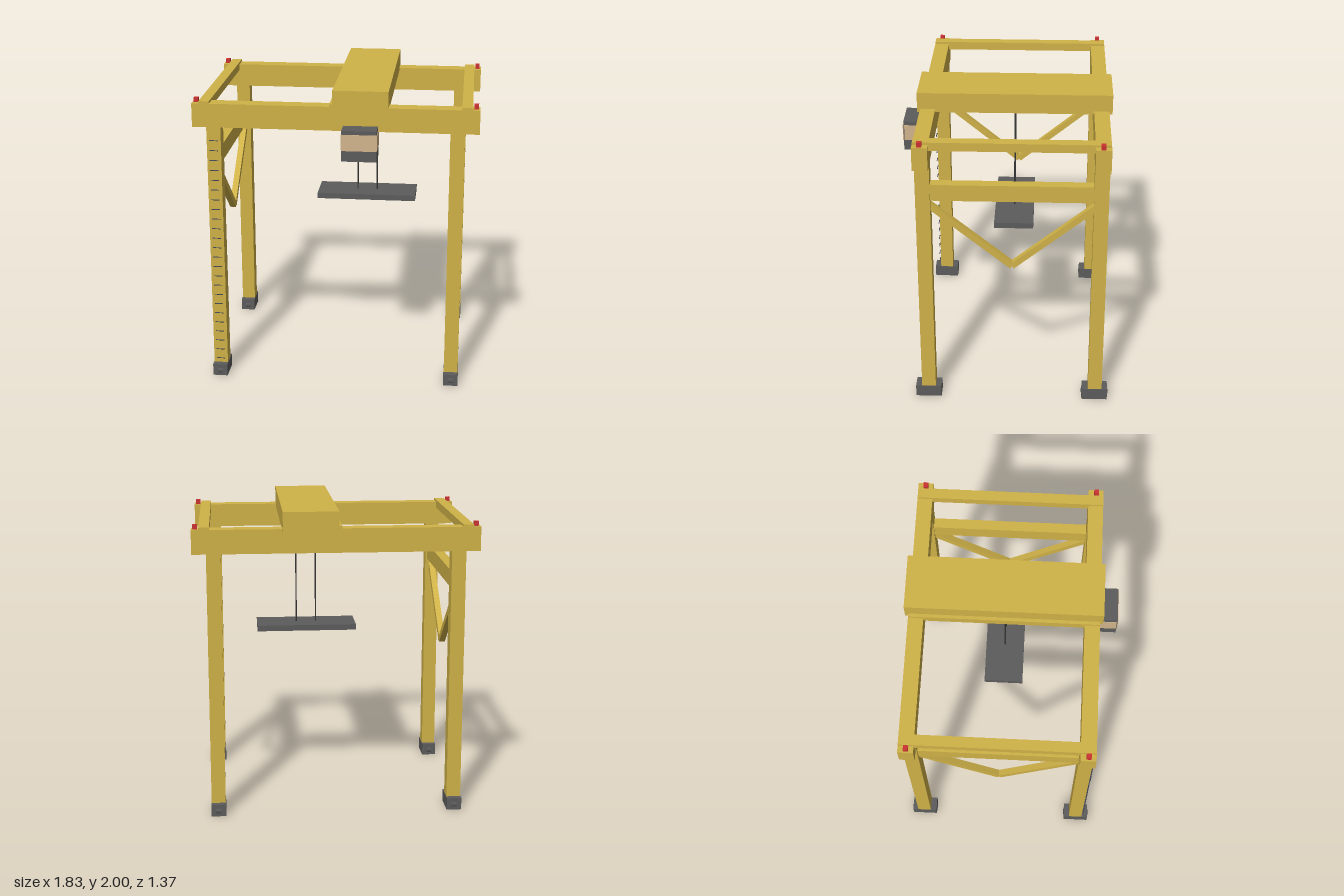
import * as THREE from 'three';

const mat = (name, color) => {
  const m = new THREE.MeshStandardMaterial({ color });
  m.name = name;
  return m;
};

export function createModel() {
  const yellow = mat('yellow paint', 0xd0b248);
  const dark = mat('dark grey steel', 0x5c5c5c);
  const cableGrey = mat('cable grey', 0x3a3a3a);
  const rungBlue = mat('rung steel', 0x454b5a);
  const glass = mat('tan window', 0xd2b48c);
  const red = mat('red lamp', 0xcc3333);

  const crane = new THREE.Group();
  crane.name = 'gantryCrane';

  // box given by its extents on each axis
  const box = (name, m, [x0, x1], [y0, y1], [z0, z1]) => {
    const mesh = new THREE.Mesh(new THREE.BoxGeometry(x1 - x0, y1 - y0, z1 - z0), m);
    mesh.position.set((x0 + x1) / 2, (y0 + y1) / 2, (z0 + z1) / 2);
    mesh.name = name;
    crane.add(mesh);
    return mesh;
  };
  const around = (c, size) => [c - size / 2, c + size / 2];
  // cylinder along y or x
  const rod = (name, m, r, length, x, y, z, alongX, sides = 16) => {
    const mesh = new THREE.Mesh(new THREE.CylinderGeometry(r, r, length, sides), m);
    if (alongX) mesh.rotation.z = Math.PI / 2;
    mesh.position.set(x, y, z);
    mesh.name = name;
    crane.add(mesh);
  };

  const legX = 0.778, frontZ = 0.513, backZ = -0.596, midZ = (frontZ + backZ) / 2;

  // legs, wheel boxes, wheels and corner lamps
  for (const sx of [-1, 1]) {
    for (const z of [frontZ, backZ]) {
      const x = sx * legX;
      box('leg', yellow, around(x, 0.092), [0.08, 1.74], around(z, 0.092));
      box('wheelBox', dark, around(x, 0.097), [0, 0.08], around(z + 0.002, 0.17));
      for (const s of [-1, 1]) rod('wheel', dark, 0.034, 0.035, x, 0.036, z + 0.002 + s * 0.056, true);
      box('cornerLamp', red, around(sx * 0.89, 0.03), [1.89, 1.92], around(z + 0.002, 0.03));
    }
  }

  // long top girders
  for (const z of [frontZ, backZ]) box('girder', yellow, [-0.915, 0.915], [1.735, 1.89], around(z, 0.097));

  // cross rails over the girders
  for (const x of [-0.835, 0, 0.835]) box('crossRail', yellow, around(x, 0.068), [1.85, 1.905], [-0.643, 0.56]);

  // side beams and V braces
  for (const sx of [-1, 1]) {
    box('sideBeam', yellow, around(sx * legX, 0.068), [1.48, 1.59], [backZ, frontZ]);
    for (const end of [frontZ, backZ]) {
      const dz = end - midZ, dy = 1.466 - 1.008;
      const brace = new THREE.Mesh(new THREE.BoxGeometry(0.04, 0.04, Math.hypot(dz, dy)), yellow);
      brace.position.set(sx * legX, (1.466 + 1.008) / 2, (end + midZ) / 2);
      brace.rotation.x = -Math.atan2(dy, dz);
      brace.name = 'brace';
      crane.add(brace);
    }
  }

  // trolley, hoist cables and spreader
  box('trolley', yellow, [-0.012, 0.342], [1.87, 2], [-0.665, 0.58]);
  for (const x of [0.098, 0.23]) rod('cable', cableGrey, 0.0045, 0.725, x, 1.5125, midZ, false, 8);
  box('spreader', dark, [-0.168, 0.497], [1.118, 1.156], [-0.17, 0.086]);

  // operator cab with windows on the front and both sides
  box('cab', dark, [0.055, 0.277], [1.57, 1.77], [0.5, 0.68]);
  box('frontWindow', glass, [0.055, 0.277], [1.64, 1.745], [0.68, 0.685]);
  for (const x of [0.0535, 0.2785]) box('sideWindow', glass, around(x, 0.003), [1.64, 1.745], [0.505, 0.675]);

  // ladder rungs on the front leg
  for (let i = 0; i < 24; i++) rod('ladderRung', rungBlue, 0.003, 0.056, -legX, 0.115 + i * 0.0667, 0.569, true, 6);

  return crane;
}
